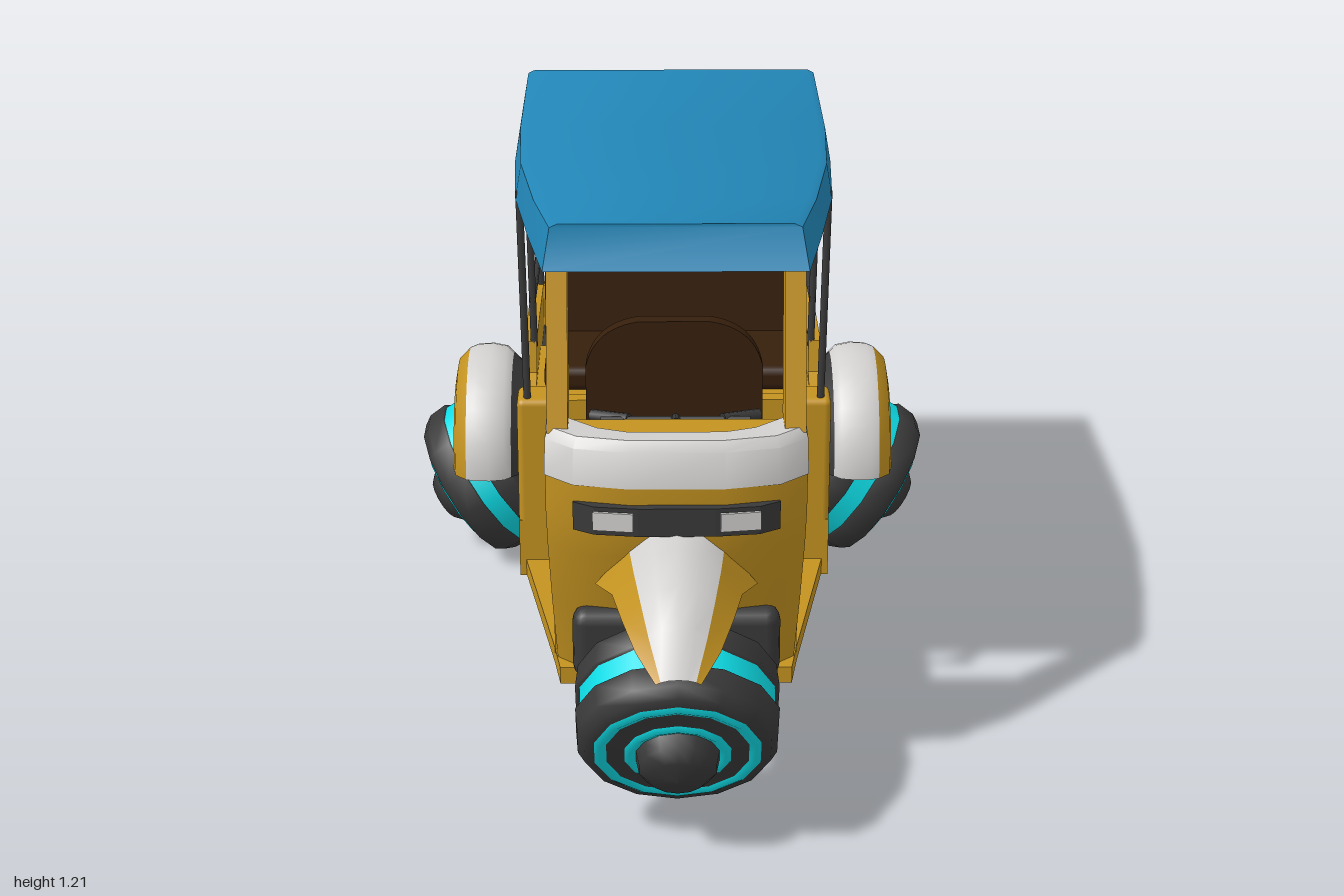
import * as THREE from 'three';
import { toCreasedNormals } from 'three/addons/utils/BufferGeometryUtils.js';
import { RoundedBoxGeometry } from 'three/addons/geometries/RoundedBoxGeometry.js';

const paint = (name, color, side = THREE.FrontSide) => {
  const m = new THREE.MeshStandardMaterial({ color, side });
  m.name = name;
  return m;
};
const V = (x, y, z) => new THREE.Vector3(x, y, z);

// open surface through rows of [x, y, z] points
function loft(rows, crease = 0.6) {
  const n = rows[0].length, index = [];
  for (let i = 0; i < rows.length - 1; i++)
    for (let j = 0; j < n - 1; j++) {
      const a = i * n + j, b = a + 1, c = a + n, d = c + 1;
      index.push(a, b, d, a, d, c);
    }
  const g = new THREE.BufferGeometry();
  g.setAttribute('position', new THREE.Float32BufferAttribute(rows.flat(2), 3));
  g.setIndex(index);
  return toCreasedNormals(g, crease);
}
const shapeOf = pts => new THREE.Shape(pts.map(p => new THREE.Vector2(p[0], p[1])));
const extrude = (shape, depth) => new THREE.ExtrudeGeometry(shape, { depth, bevelEnabled: false });
// side profile in (z, y), spanning x0..x1
const profile = (pts, x0, x1) => extrude(shapeOf(pts), x1 - x0).rotateY(-Math.PI / 2).translate(x1, 0, 0);
// floor plan in (x, z), spanning y0..y1, with an optional opening
const plan = (pts, y0, y1, hole) => {
  const shape = shapeOf(pts);
  if (hole) shape.holes.push(shapeOf(hole));
  return extrude(shape, y1 - y0).rotateX(Math.PI / 2).translate(0, y1, 0);
};
const mirrorPlan = half => [...half, ...half.map(([x, z]) => [-x, z]).reverse()];

export function createModel() {
  const D = THREE.DoubleSide;
  const yellow = paint('yellow body', 0xc49321, D), blue = paint('blue roof', 0x2286b7, D);
  const white = paint('white trim', 0xd2d1cf, D), dark = paint('dark rubber', 0x393939, D);
  const brown = paint('brown seat', 0x361f0c), cyan = paint('cyan glow', 0x0edce6, D);
  const red = paint('red lamp', 0xe80c0c), grey = paint('grey plate', 0xa8a8a8);

  const model = new THREE.Group();
  model.name = 'threeWheelTaxi';
  const add = (name, geo, mat, x = 0, y = 0, z = 0, parent = model) => {
    const m = new THREE.Mesh(geo, mat);
    m.name = name;
    m.position.set(x, y, z);
    parent.add(m);
    return m;
  };
  const box = (name, mat, w, h, d, x, y, z) => add(name, new THREE.BoxGeometry(w, h, d), mat, x, y, z);
  const rod = (name, a, b, r, parent = model) => {
    const m = add(name, new THREE.CylinderGeometry(r, r, a.distanceTo(b), 8), dark, 0, 0, 0, parent);
    m.position.copy(a).add(b).multiplyScalar(0.5);
    m.quaternion.setFromUnitVectors(V(0, 1, 0), b.clone().sub(a).normalize());
    return m;
  };

  // roof: sloping top with a flared skirt, open underneath
  const rim = [[0.275, 0.46], [0.315, 0.2], [0.355, -0.1], [0.37, -0.42], [0.374, -0.998]];
  const roofRows = rim.map(([w, z]) => {
    const yb = 1.128 - (0.46 - z) * 0.036, zt = z > 0.4 ? 0.41 : z < -0.9 ? -0.985 : z;
    const yt = 1.215 - (0.41 - zt) * 0.036;
    return [[-w, yb, z], [-w + 0.014, yt - 0.008, zt], [-w + 0.03, yt, zt],
      [w - 0.03, yt, zt], [w - 0.014, yt - 0.008, zt], [w, yb, z]];
  });
  add('roof', loft(roofRows), blue);
  for (const [name, r] of [['roofFrontSkirt', roofRows[0]], ['roofRearSkirt', roofRows[4]]]) {
    const [a, b, c, d, e, f] = r;
    add(name, loft([[a, f], [b, e], [c, d]]), blue);
  }

  // cab nose: curved shell, wrapped around the front
  const noseRow = ([y, front, back, w]) => [[-w, y, back], [-w, y, front - 0.085], [-w + 0.06, y, front - 0.03],
    [-0.1, y, front - 0.006], [0.1, y, front - 0.006], [w - 0.06, y, front - 0.03], [w, y, front - 0.085], [w, y, back]];
  add('cabNose', loft([[0.215, 0.525, 0.4, 0.255], [0.4, 0.575, 0.4, 0.265], [0.56, 0.635, 0.4, 0.27],
    [0.64, 0.65, 0.405, 0.272], [0.725, 0.655, 0.425, 0.272]].map(noseRow)), yellow);
  add('windscreenBand', loft([[0.725, 0.657, 0.425, 0.274], [0.8, 0.643, 0.44, 0.272],
    [0.82, 0.625, 0.45, 0.266], [0.812, 0.56, 0.46, 0.225]].map(noseRow)), white);
  add('dashboard', plan(mirrorPlan([[0.262, 0.455], [0.262, 0.53], [0.2, 0.58]]), 0.77, 0.8), yellow);
  box('dashboardPanel', brown, 0.5, 0.12, 0.02, 0, 0.71, 0.45);

  // curved headlamp bar and grille
  add('headlampBar', plan(mirrorPlan([[0.2, 0.59], [0.214, 0.628], [0.17, 0.655], [0.08, 0.667]]), 0.626, 0.688), dark);
  add('grille', new RoundedBoxGeometry(0.44, 0.16, 0.07, 2, 0.03), dark, 0, 0.335, 0.56);

  // front fender: white crest with yellow flanks
  const crest = [[0.998, 0.468, 0.035, 0.045, 0.005, 0.01], [0.93, 0.555, 0.058, 0.085, 0.03, 0.06],
    [0.85, 0.6, 0.075, 0.112, 0.033, 0.075], [0.74, 0.63, 0.09, 0.133, 0.043, 0.1], [0.6, 0.628, 0.1, 0.17, 0.055, 0.14]];
  add('frontFenderCrest', loft(crest.map(([z, y, w, , d]) =>
    [[-w, y - d, z], [-w * 0.55, y - d * 0.25, z], [0, y, z], [w * 0.55, y - d * 0.25, z], [w, y - d, z]])), white);

  // lower cab: open floor frame with a recessed mat, seat box and rear bulkhead
  add('floorFrame', plan(mirrorPlan([[0.25, 0.5], [0.265, 0.4], [0.345, -0.05], [0.345, -0.14]]), 0.202, 0.24,
    mirrorPlan([[0.19, 0.4], [0.22, 0.0]])), yellow);
  box('floorMat', dark, 0.46, 0.012, 0.46, 0, 0.242, 0.2);
  box('seatBox', yellow, 0.46, 0.21, 0.28, 0, 0.352, 0.1);
  box('bulkhead', yellow, 0.64, 0.41, 0.04, 0, 0.432, -0.08);
  add('driverSeat', new RoundedBoxGeometry(0.44, 0.05, 0.29, 2, 0.02), brown, 0, 0.478, 0.11);
  const back = new THREE.Shape().moveTo(-0.2, 0);
  back.lineTo(0.2, 0).lineTo(0.2, 0.27).quadraticCurveTo(0.18, 0.36, 0.08, 0.375)
    .lineTo(-0.08, 0.375).quadraticCurveTo(-0.18, 0.36, -0.2, 0.27);
  add('driverBackrest', extrude(back, 0.045), brown, 0, 0.47, -0.03).rotation.x = -0.06;

  // steering column and handlebar
  rod('steeringColumn', V(0, 0.5, 0.55), V(0, 0.79, 0.44), 0.018);
  rod('handlebarStem', V(0, 0.79, 0.45), V(0, 0.76, 0.35), 0.01);
  rod('handlebar', V(-0.16, 0.755, 0.35), V(0.16, 0.755, 0.35), 0.009);

  // passenger tub: floor, bench and rear wall
  box('passengerFloor', yellow, 0.67, 0.03, 0.28, 0, 0.265, -0.25);
  add('benchBase', profile([[-0.33, 0.28], [-0.36, 0.53], [-0.7, 0.53], [-0.7, 0.28]], -0.33, 0.33), yellow);
  add('benchCushion', new RoundedBoxGeometry(0.62, 0.06, 0.28, 2, 0.02), brown, 0, 0.56, -0.52);
  add('benchBackrest', new RoundedBoxGeometry(0.63, 0.3, 0.074, 2, 0.015), brown, 0, 0.71, -0.69).rotation.x = -0.11;
  box('luggageFloor', dark, 0.66, 0.02, 0.24, 0, 0.49, -0.83);
  box('rearUnderbody', dark, 0.64, 0.03, 0.52, 0, 0.285, -0.64);
  add('rearWall', profile([[-0.92, 0.26], [-0.955, 0.34], [-0.975, 0.43], [-0.972, 0.605], [-0.94, 0.605],
    [-0.9, 0.26]], -0.34, 0.34), yellow);
  box('numberPlate', grey, 0.2, 0.12, 0.009, 0, 0.34, -0.971);

  // suspension under the front wheel
  rod('frontAxle', V(0, 0.28, 0.79), V(0, 0.43, 0.54), 0.045);

  // wheel: broad lathed tyre, glowing bands and domed hub, outward along its own +y
  const bands = [
    ['tyreInner', dark, [[0, -0.1], [0.12, -0.105], [0.18, -0.116], [0.2, -0.1], [0.205, -0.05], [0.19, -0.048]]],
    ['treadBand', cyan, [[0.196, -0.052], [0.196, 0.002]]],
    ['tyreOuter', dark, [[0.19, -0.002], [0.204, 0], [0.2, 0.045], [0.186, 0.068], [0.166, 0.073]]],
    ['outerRing', cyan, [[0.167, 0.072], [0.155, 0.08], [0.142, 0.074]]],
    ['wheelFace', dark, [[0.142, 0.074], [0.106, 0.078]]],
    ['innerRing', cyan, [[0.106, 0.078], [0.095, 0.086], [0.083, 0.08]]],
    ['hub', dark, [[0.083, 0.08], [0.077, 0.11], [0.055, 0.132], [0, 0.142]]],
  ];
  const wheel = (name, pos, axis, size) => {
    const g = new THREE.Group();
    g.name = name;
    for (const [part, mat, pts] of bands)
      add(part, new THREE.LatheGeometry(pts.map(p => new THREE.Vector2(...p)), 14), mat, 0, 0, 0, g);
    g.position.copy(pos);
    g.scale.setScalar(size);
    g.quaternion.setFromUnitVectors(V(0, 1, 0), axis.normalize());
    model.add(g);
  };
  wheel('frontWheel', V(0, 0.274, 0.802), V(0, -0.5, 0.86), 1.05);

  // parts repeated on both sides
  for (const s of [1, -1]) {
    const half = new THREE.Group();
    half.name = s > 0 ? 'leftSide' : 'rightSide';
    half.scale.x = s;
    model.add(half);
    const on = (name, geo, mat, x = 0, y = 0, z = 0) => add(name, geo, mat, x, y, z, half);

    on('headlamp', new THREE.BoxGeometry(0.084, 0.04, 0.009), white, 0.131, 0.658, 0.662).rotation.y = 0.14;
    // windscreen pillar
    on('pillar', profile([[0.555, 0.81], [0.445, 0.81], [0.375, 1.15], [0.445, 1.15]], 0.224, 0.268), yellow);
    on('frontFenderFlank', loft(crest.map(([z, y, w, wy, d, e]) => [[w, y - d, z], [wy, y - e, z]])), yellow);
    on('frontArm', new THREE.SphereGeometry(0.035, 10, 8), dark, 0.1, 0.31, 0.63);
    rod('lowerArm', V(0.1, 0.31, 0.54), V(0.06, 0.35, 0.74), 0.018, half);
    rod('upperArm', V(0.07, 0.52, 0.62), V(0.06, 0.38, 0.75), 0.02, half);

    // low door panel and door post
    on('doorPanel', plan([[0.264, 0.41], [0.274, -0.06], [0.25, -0.06], [0.24, 0.41]], 0.23, 0.462), yellow);
    on('doorPost', new RoundedBoxGeometry(0.085, 0.42, 0.1, 3, 0.015), yellow, 0.318, 0.43, -0.1);
    // tub side with a swept step
    on('tubSide', profile([[-0.05, 0.2], [-0.14, 0.225], [-0.35, 0.285], [-0.5, 0.275], [-0.918, 0.26],
      [-0.955, 0.34], [-0.97, 0.43], [-0.968, 0.605], [-0.72, 0.617], [-0.475, 0.625], [-0.46, 0.55],
      [-0.42, 0.532], [-0.37, 0.525], [-0.33, 0.47], [-0.29, 0.385], [-0.23, 0.345], [-0.14, 0.34],
      [-0.05, 0.34]], 0.33, 0.36), yellow);

    // rear fender arch
    const arch = [['fenderInner', dark, [[0.19, 0.358], [0.228, 0.398]]],
      ['fenderBand', white, [[0.228, 0.398], [0.245, 0.415], [0.252, 0.45], [0.25, 0.488], [0.242, 0.508]]],
      ['fenderLip', yellow, [[0.242, 0.508], [0.215, 0.535], [0.175, 0.542]]]];
    for (const [name, mat, pts] of arch)
      on(name, new THREE.LatheGeometry(pts.map(p => new THREE.Vector2(...p)), 18, Math.PI - 0.1, Math.PI + 0.1)
        .rotateZ(-Math.PI / 2), mat, 0, 0.28, -0.67);
    rod('rearAxle', V(0.47, 0.19, -0.67), V(0.2, 0.31, -0.67), 0.05, half);

    // roof poles and side rail
    for (const [z, y] of [[-0.07, 0.63], [-0.482, 0.61], [-0.95, 0.59]])
      rod('roofPole', V(0.336, y, z), V(0.346, 1.13 + z * 0.03, z - 0.02), 0.0085, half);
    rod('sideRail', V(0.338, 0.73, -0.48), V(0.338, 0.708, -0.97), 0.008, half);
    // handlebar grip
    rod('grip', V(0.1, 0.757, 0.35), V(0.18, 0.747, 0.3), 0.013, half);
    // tail lamps wrapping the corner
    for (const [y, z] of [[0.426, -0.942], [0.354, -0.931]])
      on('tailLamp', new RoundedBoxGeometry(0.228, 0.05, 0.086, 2, 0.01), red, 0.252, y, z);

    wheel(s > 0 ? 'leftRearWheel' : 'rightRearWheel', V(s * 0.47, 0.197, -0.665), V(s * 0.84, -0.54, 0), 1);
  }
  return model;
}
